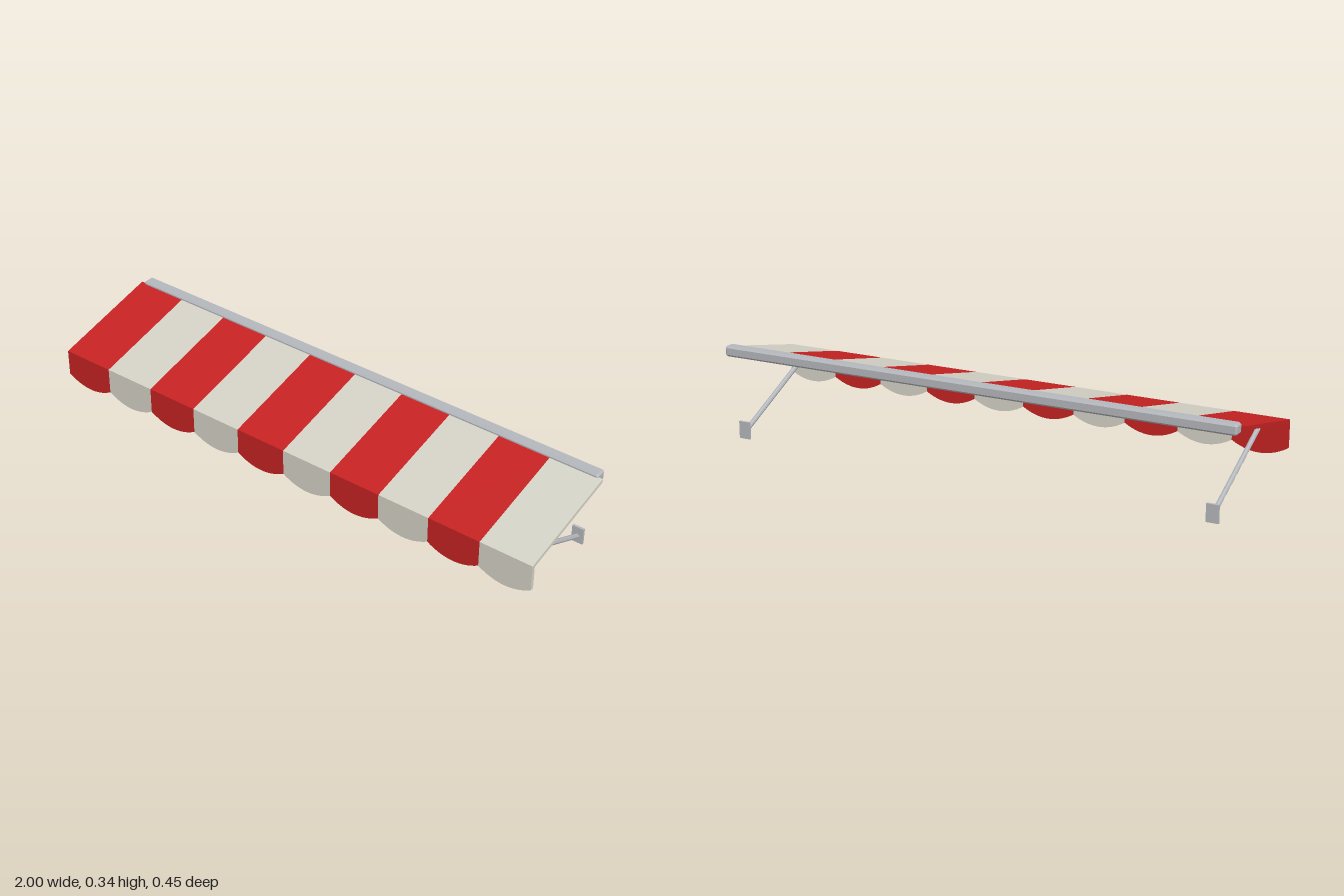
import * as THREE from 'three';
import { ConvexGeometry } from 'three/addons/geometries/ConvexGeometry.js';

const material = (name, color) => {
  const m = new THREE.MeshStandardMaterial({ color });
  m.name = name;
  return m;
};

// Box with every edge chamfered by c
function chamferedBox(hx, hy, hz, c) {
  const points = [];
  for (const x of [-1, 1]) for (const y of [-1, 1]) for (const z of [-1, 1]) {
    points.push(
      new THREE.Vector3(x * hx, y * (hy - c), z * (hz - c)),
      new THREE.Vector3(x * (hx - c), y * hy, z * (hz - c)),
      new THREE.Vector3(x * (hx - c), y * (hy - c), z * hz));
  }
  return new ConvexGeometry(points);
}

export function createModel() {
  const group = new THREE.Group();
  group.name = 'awning';
  const red = material('red fabric', 0xc62222);
  const cream = material('cream fabric', 0xd4d2c6);
  const metal = material('grey metal', 0xb4b7bc);

  const add = (name, geometry, mat, parent = group) => {
    const mesh = new THREE.Mesh(geometry, mat);
    mesh.name = name;
    parent.add(mesh);
    return mesh;
  };

  // Sloping sheet: side profile (z, y) extruded across one stripe
  const stripes = 10, width = 2 / stripes;
  const profile = new THREE.Shape([
    [0.227, 0.222], [0.227, 0.236], [-0.187, 0.329], [-0.187, 0.315], [0.213, 0.225], [0.213, 0.222],
  ].map(([z, y]) => new THREE.Vector2(z, y)));
  const sheet = new THREE.ExtrudeGeometry(profile, { depth: width, bevelEnabled: false });
  sheet.rotateY(-Math.PI / 2).translate(width / 2, 0, 0);

  // Hanging valance with one scallop per stripe
  const flap = new THREE.Shape();
  flap.moveTo(-width / 2, 0.222);
  flap.lineTo(-width / 2, 0.137);
  flap.quadraticCurveTo(0, 0.077, width / 2, 0.137);
  flap.lineTo(width / 2, 0.222);
  flap.closePath();
  const valance = new THREE.ExtrudeGeometry(flap, { depth: 0.014, bevelEnabled: false, curveSegments: 14 });
  valance.translate(0, 0, 0.213);

  for (let i = 0; i < stripes; i++) {
    const mat = i % 2 ? cream : red;
    const x = -1 + width * (i + 0.5);
    add('canopyStripe', sheet, mat).position.x = x;
    add('valanceScallop', valance, mat).position.x = x;
  }

  // Wall housing along the back
  add('housing', chamferedBox(0.985, 0.0195, 0.022, 0.007), metal).position.set(0, 0.3205, -0.203);

  // Support arms with wall plates
  const front = new THREE.Vector3(0, 0.209, 0.161);
  const back = new THREE.Vector3(0, 0.027, -0.218);
  const direction = front.clone().sub(back);
  const armGeometry = new THREE.CylinderGeometry(0.009, 0.009, direction.length(), 8).toNonIndexed();
  armGeometry.computeVertexNormals();
  for (const side of [-1, 1]) {
    const support = new THREE.Group();
    support.name = side > 0 ? 'leftSupport' : 'rightSupport';
    support.position.x = side * 0.912;
    group.add(support);
    const arm = add('arm', armGeometry, metal, support);
    arm.position.copy(front).add(back).multiplyScalar(0.5);
    arm.quaternion.setFromUnitVectors(new THREE.Vector3(0, 1, 0), direction.clone().normalize());
    add('wallPlate', new THREE.BoxGeometry(0.044, 0.064, 0.009), metal, support).position.set(0, 0.032, -0.2205);
  }
  return group;
}
